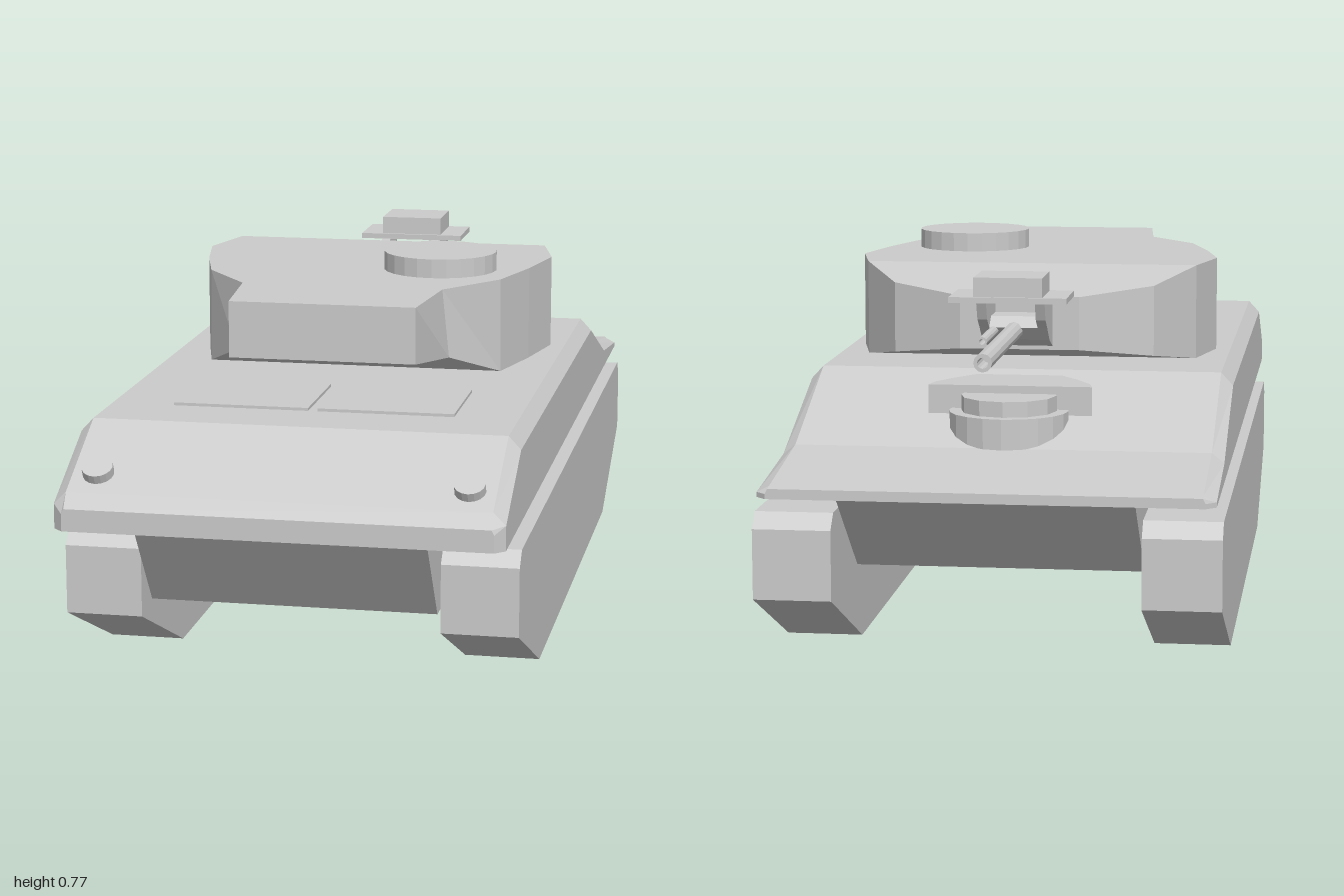
import * as THREE from 'three';

const grey = new THREE.MeshStandardMaterial({ color: 0xcccccc, flatShading: true, side: THREE.DoubleSide });

export function createModel() {
  const model = new THREE.Group();
  const add = (name, geometry, x = 0, y = 0, z = 0) => {
    const mesh = new THREE.Mesh(geometry, grey);
    mesh.name = name;
    mesh.position.set(x, y, z);
    model.add(mesh);
    return mesh;
  };

  // Skin over mirrored cross-sections, listed from +z to -z.
  // Each station is [z, [x, y], ...] with half-section points from top to bottom.
  const loft = (stations) => {
    const pos = [], index = [];
    const n = (stations[0].length - 1) * 2;
    for (const [z, ...half] of stations) {
      for (const [x, y] of half) pos.push(x, y, z);
      for (const [x, y] of [...half].reverse()) pos.push(-x, y, z);
    }
    for (let i = 0; i < stations.length - 1; i++) {
      for (let j = 0; j < n; j++) {
        const a = i * n + j, b = i * n + (j + 1) % n;
        index.push(a, b, b + n, a, b + n, a + n);
      }
    }
    const last = (stations.length - 1) * n;
    for (let j = 1; j < n - 1; j++) {
      index.push(0, j + 1, j);
      index.push(last, last + j, last + j + 1);
    }
    const g = new THREE.BufferGeometry();
    g.setAttribute('position', new THREE.Float32BufferAttribute(pos, 3));
    g.setIndex(index);
    const flat = g.toNonIndexed();
    flat.computeVertexNormals();
    return flat;
  };

  // Side profile of [z, y] points, extruded across from x0 to x1.
  const sideProfile = (points, x0, x1) => {
    const shape = new THREE.Shape(points.map(([z, y]) => new THREE.Vector2(z, y)));
    return new THREE.ExtrudeGeometry(shape, { depth: x1 - x0, bevelEnabled: false })
      .rotateY(-Math.PI / 2).translate(x1, 0, 0);
  };

  // Upper hull with chamfered shoulders
  add('upperHull', loft([
    [1.0, [0.42, 0.395], [0.425, 0.385], [0.425, 0.35]],
    [0.98, [0.42, 0.425], [0.445, 0.4], [0.445, 0.35]],
    [0.78, [0.42, 0.527], [0.445, 0.5], [0.445, 0.35]],
    [-0.43, [0.42, 0.527], [0.445, 0.5], [0.445, 0.35]],
    [-0.73, [0.42, 0.41], [0.445, 0.39], [0.445, 0.35]],
    [-0.98, [0.42, 0.373], [0.445, 0.36], [0.445, 0.35]],
    [-1.0, [0.42, 0.37], [0.425, 0.36], [0.425, 0.35]],
  ]));

  // Lower hull between the tracks
  add('lowerHull', sideProfile([[0.965, 0.352], [0.835, 0.173], [-0.76, 0.173], [-0.985, 0.352]], -0.29, 0.29));

  // Track blocks, lamps and deck plates on both sides
  const track = [[0.87, 0.145], [0.55, 0], [-0.65, 0], [-0.975, 0.145], [-0.975, 0.285],
    [-0.945, 0.315], [0.84, 0.315], [0.87, 0.285]];
  for (const [side, s] of [['left', 1], ['right', -1]]) {
    add(side + 'Track', sideProfile(track, s > 0 ? 0.302 : -0.457, s > 0 ? 0.457 : -0.302));
    const lamp = add(side + 'Lamp', new THREE.CylinderGeometry(0.031, 0.031, 0.025, 16), s * 0.368, 0.457, 0.932);
    lamp.rotation.x = 0.47;
    add(side + 'DeckPlate', new THREE.BoxGeometry(0.28, 0.008, 0.23), s * 0.15, 0.529, 0.525);
  }

  // Turret: overhanging bustle, wide middle, sloping roof towards the gun
  add('turret', loft([
    [0.55, [0.195, 0.73], [0.195, 0.612]],
    [0.34, [0.215, 0.73], [0.23, 0.585]],
    [0.2, [0.318, 0.73], [0.32, 0.53]],
    [0.05, [0.36, 0.73], [0.36, 0.53]],
    [-0.1, [0.39, 0.73], [0.39, 0.53]],
    [-0.25, [0.355, 0.73], [0.355, 0.53]],
    [-0.38, [0.275, 0.7], [0.275, 0.552]],
    [-0.455, [0.125, 0.683], [0.125, 0.572]],
  ]));
  add('cupola', new THREE.CylinderGeometry(0.123, 0.123, 0.045, 24), 0.17, 0.748, 0.09);

  // Gun mount: low mantlet, two arms, sight plate and sight box
  add('mantlet', sideProfile([[-0.44, 0.575], [-0.51, 0.6], [-0.55, 0.63], [-0.52, 0.65], [-0.44, 0.65]], -0.07, 0.07));
  const arm = [[-0.44, 0.575], [-0.51, 0.6], [-0.55, 0.63], [-0.58, 0.65], [-0.6, 0.692], [-0.52, 0.692], [-0.44, 0.683]];
  for (const s of [1, -1]) add('mountArm', sideProfile(arm, s * 0.06 - 0.01, s * 0.06 + 0.01));
  add('sightPlate', new THREE.BoxGeometry(0.24, 0.012, 0.14), 0, 0.697, -0.575);
  add('sightBox', new THREE.BoxGeometry(0.14, 0.045, 0.125), 0, 0.72, -0.575);

  // Hollow barrels pointing along -z
  const barrel = (r, length) => new THREE.LatheGeometry(
    [[0, 0], [r, 0], [r, length], [r * 0.6, length], [r * 0.6, length - 0.08], [0, length - 0.08]]
      .map(([x, y]) => new THREE.Vector2(x, y)), 12).rotateX(-Math.PI / 2);
  add('mainGun', barrel(0.018, 0.53), 0, 0.622, -0.47);
  add('secondaryGun', barrel(0.01, 0.25), 0.042, 0.622, -0.46);

  // Driver's hood and stepped round hatch on the sloping deck
  add('driverHood', loft([
    [-0.44, [0.08, 0.518], [0.08, 0.47]],
    [-0.51, [0.13, 0.518], [0.13, 0.45]],
    [-0.565, [0.16, 0.518], [0.16, 0.44]],
    [-0.605, [0.168, 0.518], [0.168, 0.43]],
  ]));
  add('driverHatchBase', new THREE.CylinderGeometry(0.122, 0.122, 0.075, 20), 0, 0.433, -0.62);
  add('driverHatch', new THREE.CylinderGeometry(0.098, 0.098, 0.04, 12), 0, 0.482, -0.62);

  return model;
}
